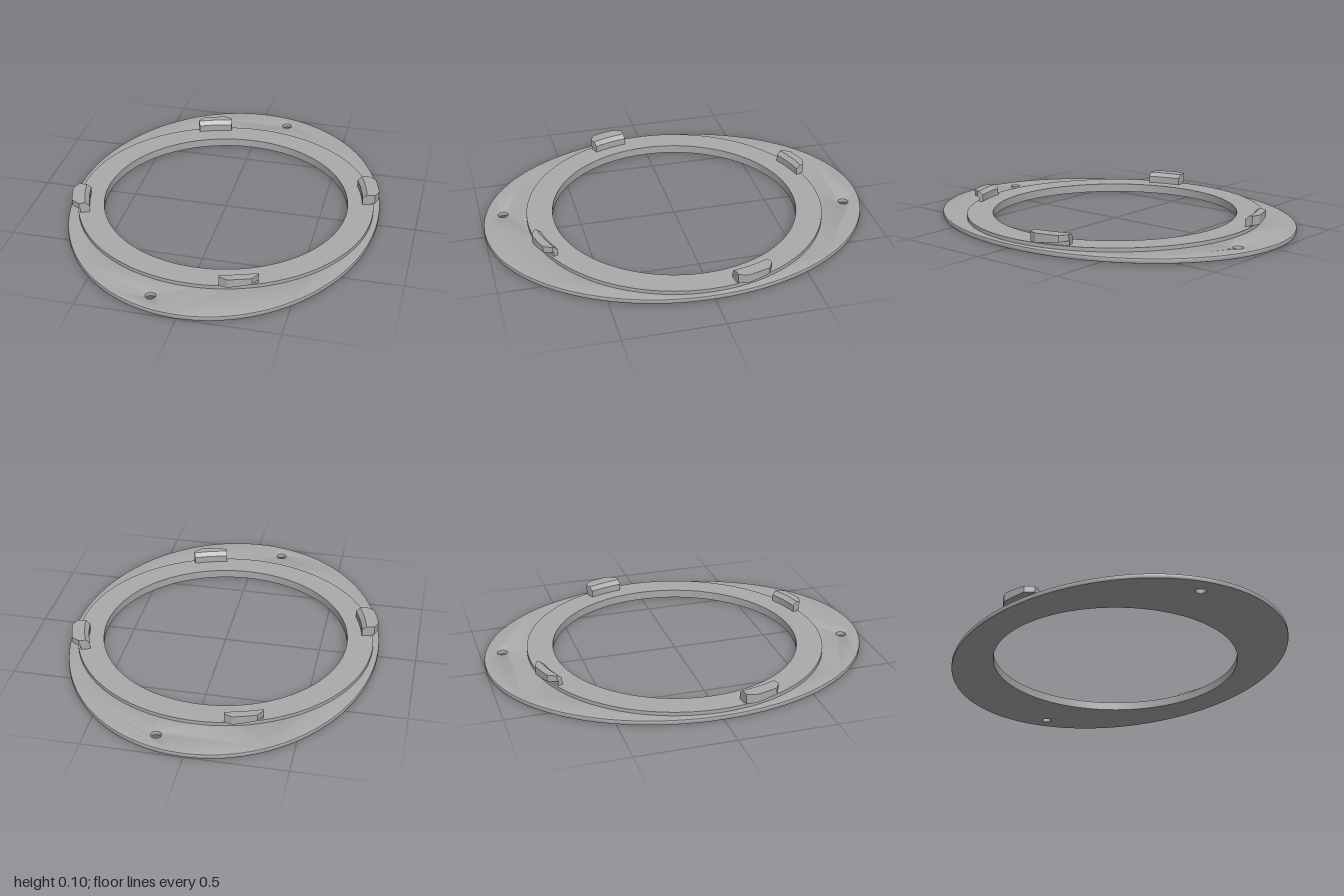
import * as THREE from 'three';
import { toCreasedNormals } from 'three/addons/utils/BufferGeometryUtils.js';

const grey = new THREE.MeshStandardMaterial({ color: 0xaaaaaa });
grey.name = 'grey';

function part(name, geometry, crease = 0.5) {
  const mesh = new THREE.Mesh(toCreasedNormals(geometry, crease), grey);
  mesh.name = name;
  return mesh;
}

// Oval plate with a central opening and two screw holes
function makePlate() {
  const bevel = 0.005;
  const shape = new THREE.Shape();
  shape.absellipse(0, 0, 0.805, 1, 0, Math.PI * 2);
  for (const [x, y, r] of [[0, 0, 0.7], [0.155, 0.89, 0.025], [-0.155, -0.885, 0.025]]) {
    const hole = new THREE.Path();
    hole.absarc(x, y, r, 0, Math.PI * 2, true);
    shape.holes.push(hole);
  }
  const geometry = new THREE.ExtrudeGeometry(shape, {
    depth: 0.025 - 2 * bevel, curveSegments: 64,
    bevelThickness: bevel, bevelSize: bevel, bevelOffset: -bevel, bevelSegments: 2,
  });
  geometry.translate(0, 0, bevel);
  geometry.rotateX(-Math.PI / 2);
  return part('ovalPlate', geometry);
}

// Raised round collar
function makeRing() {
  const profile = [[0.64, 0], [0.775, 0], [0.775, 0.044], [0.64, 0.044], [0.64, 0]];
  return part('raisedRing', new THREE.LatheGeometry(profile.map((p) => new THREE.Vector2(...p)), 128));
}

// Hooked tab: curved leg, chamfered inner edge and an outward lip with a ramped underside
function makeTab(inner, startAngle, endAngle) {
  const topInner = inner + 0.022, leg = 0.765, steps = 10;
  const lipAt = (t) => t < 0.2 ? 0.78 + t * 0.12 : t > 0.8 ? 0.804 - (t - 0.8) * 0.16 : 0.804;
  const pos = [], index = [], n = 7;
  for (let i = 0; i <= steps; i++) {
    const t = i / steps, a = startAngle + (endAngle - startAngle) * t;
    const lip = lipAt(t), under = 0.05 + 0.02 * t;
    const section = [[inner, 0.04], [inner, 0.08], [topInner, 0.1], [lip, 0.1], [lip, under], [leg, under], [leg, 0.04]];
    for (const [r, y] of section) pos.push(r * Math.cos(a), y, -r * Math.sin(a));
  }
  for (let i = 0; i < steps; i++) {
    for (let j = 0; j < n; j++) {
      const a = i * n + j, b = i * n + (j + 1) % n;
      index.push(a, b, b + n, a, b + n, a + n);
    }
  }
  // End caps
  const section = [0, 1, 2, 3, 4, 5, 6].map((j) => new THREE.Vector2(
    Math.hypot(pos[3 * j], pos[3 * j + 2]), pos[3 * j + 1]));
  const last = steps * n;
  for (const tri of THREE.ShapeUtils.triangulateShape(section, [])) {
    const p = tri.map((k) => section[k]);
    const ccw = (p[1].x - p[0].x) * (p[2].y - p[0].y) - (p[1].y - p[0].y) * (p[2].x - p[0].x) > 0;
    const [a, b, c] = ccw ? tri : [tri[0], tri[2], tri[1]];
    index.push(a, b, c, last + a, last + c, last + b);
  }
  const geometry = new THREE.BufferGeometry();
  geometry.setAttribute('position', new THREE.Float32BufferAttribute(pos, 3));
  geometry.setIndex(index);
  return part('hookTab', geometry, 0.3);
}

export function createModel() {
  const group = new THREE.Group();
  group.name = 'mountingRing';
  group.add(makePlate(), makeRing());
  // Four tabs, a quarter turn apart; the front and back pair is slimmer
  for (let k = 0; k < 4; k++) {
    const tab = k % 2 ? makeTab(0.742, 0.19, 0.437) : makeTab(0.716, 0.157, 0.412);
    tab.rotation.y = k * Math.PI / 2;
    group.add(tab);
  }
  return group;
}
